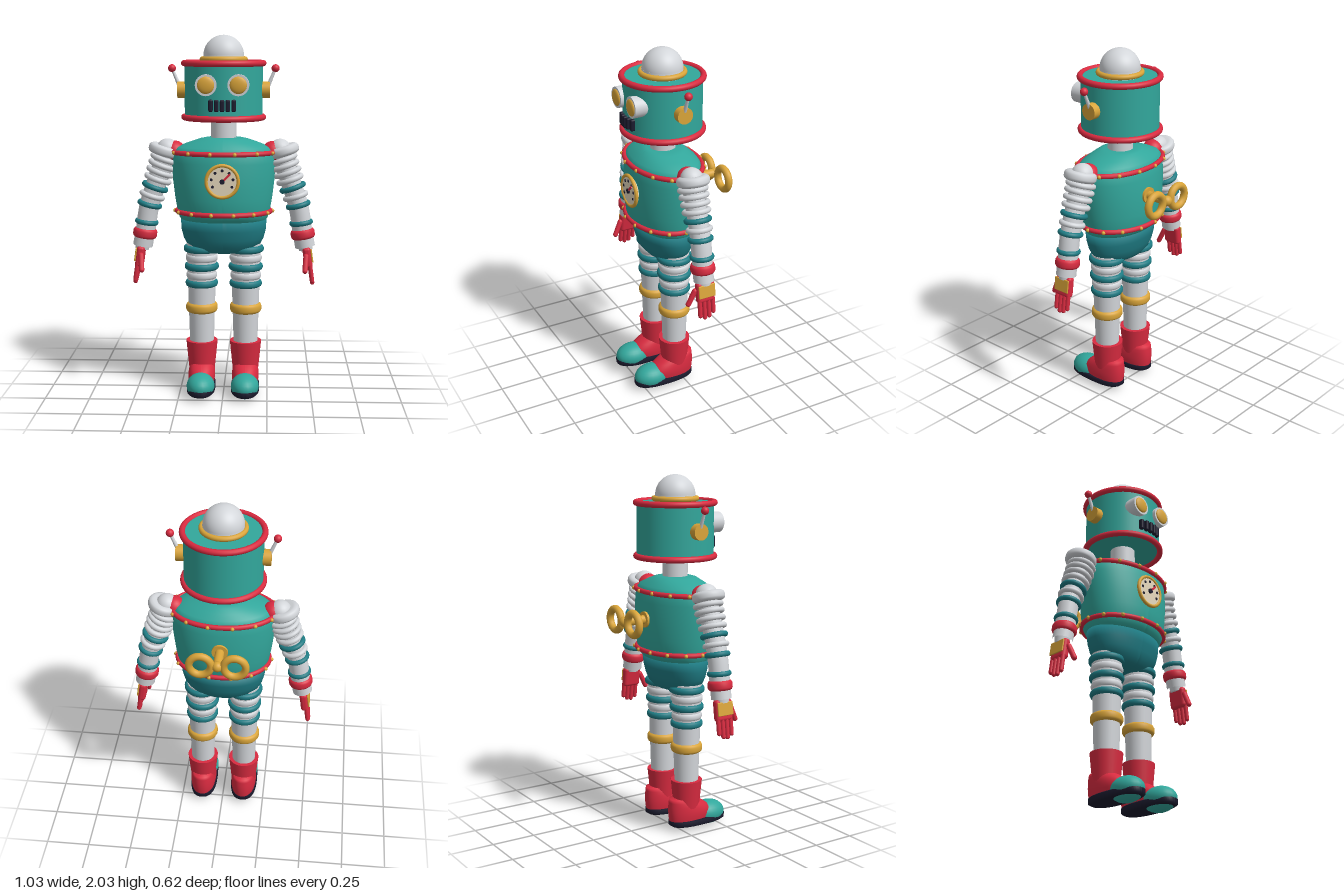
import * as THREE from 'three';
import { RoundedBoxGeometry } from 'three/addons/geometries/RoundedBoxGeometry.js';

const mat = (name, color) => {
  const m = new THREE.MeshStandardMaterial({ color });
  m.name = name;
  return m;
};
const V = (x, y, z) => new THREE.Vector3(x, y, z);
const UP = V(0, 1, 0);
const ZC = 0.052; // depth of the body axis

export function createModel() {
  const teal = mat('teal', 0x32a79c), darkTeal = mat('darkTeal', 0x1f7d85), red = mat('red', 0xd92b40);
  const gold = mat('gold', 0xdaa53a), grey = mat('lightGrey', 0xd3d6da), navy = mat('navy', 0x1b1b2e);
  const cream = mat('cream', 0xf1e3c6);
  const root = new THREE.Group();
  root.name = 'toyRobot';

  const add = (parent, name, geo, m, x = 0, y = 0, z = 0) => {
    const mesh = new THREE.Mesh(geo, m);
    mesh.name = name;
    mesh.position.set(x, y, z);
    parent.add(mesh);
    return mesh;
  };
  const ball = (p, name, r, m, x, y, z) => add(p, name, new THREE.SphereGeometry(r, 24, 16), m, x, y, z);
  // cylinder between two points
  const rod = (p, name, a, b, ra, rb, m, seg = 32) => {
    const d = b.clone().sub(a);
    const mesh = add(p, name, new THREE.CylinderGeometry(rb, ra, d.length(), seg), m);
    mesh.position.copy(a).add(b).multiplyScalar(0.5);
    mesh.quaternion.setFromUnitVectors(UP, d.normalize());
    return mesh;
  };
  // torus around a direction
  const ring = (p, name, c, dir, r, t, m) => {
    const mesh = add(p, name, new THREE.TorusGeometry(r, t, 12, 48), m, c.x, c.y, c.z);
    mesh.quaternion.setFromUnitVectors(V(0, 0, 1), dir);
    return mesh;
  };
  // stacked superellipses, rows from bottom to top: [y, rx, rz, zCentre]
  const loft = (p, name, rows, m, e = 2, x = 0) => {
    const geo = new THREE.LatheGeometry(rows.map(r => new THREE.Vector2(1, r[0])), 56);
    const pos = geo.attributes.position;
    const bend = v => Math.sign(v) * Math.pow(Math.abs(v), 2 / e);
    for (let i = 0; i < pos.count; i++) {
      const [y, rx, rz, zc = ZC] = rows[i % rows.length];
      pos.setXYZ(i, bend(pos.getX(i)) * rx, y, bend(pos.getZ(i)) * rz + zc);
    }
    geo.computeVertexNormals();
    return add(p, name, geo, m, x);
  };
  // rounded band, profile of a lathe
  const band = (p, name, r, h, m, x, y, z) => {
    const k = Math.min(h * 0.35, 0.018);
    const pts = [[r - 0.03, -h / 2], [r - k, -h / 2], [r - k * 0.3, -h / 2 + k * 0.4], [r, -h / 2 + k],
      [r, h / 2 - k], [r - k * 0.3, h / 2 - k * 0.4], [r - k, h / 2], [r - 0.03, h / 2]];
    return add(p, name, new THREE.LatheGeometry(pts.map(q => new THREE.Vector2(...q)), 40), m, x, y, z);
  };

  // ---- head ----
  const head = new THREE.Group();
  head.name = 'head';
  root.add(head);
  add(head, 'headShell', new THREE.CylinderGeometry(0.216, 0.216, 0.3, 64), teal, 0, 1.7, ZC);
  for (const y of [1.55, 1.846]) ring(head, 'headRim', V(0, y, ZC), UP, 0.219, 0.017, red);
  ring(head, 'domeCollar', V(0, 1.868, ZC), UP, 0.118, 0.015, gold);
  add(head, 'domeBase', new THREE.CylinderGeometry(0.112, 0.115, 0.04, 48), grey, 0, 1.87, ZC);
  add(head, 'dome', new THREE.SphereGeometry(0.112, 40, 20, 0, Math.PI * 2, 0, Math.PI / 2), grey, 0, 1.888, ZC);
  add(head, 'neck', new THREE.CylinderGeometry(0.071, 0.071, 0.16, 40), grey, 0, 1.48, ZC);
  for (const s of [-1, 1]) {
    rod(head, 'eyeRim', V(s * 0.087, 1.733, 0.2), V(s * 0.087, 1.733, 0.285), 0.058, 0.058, grey);
    const lens = ball(head, 'eyeLens', 0.046, gold, s * 0.087, 1.733, 0.285);
    lens.scale.z = 0.3;
    rod(head, 'ear', V(s * 0.2, 1.7, ZC), V(s * 0.256, 1.7, ZC), 0.045, 0.045, gold);
    rod(head, 'antennaRod', V(s * 0.245, 1.72, ZC), V(s * 0.285, 1.815, ZC), 0.011, 0.008, grey, 12);
    ball(head, 'antennaTip', 0.022, red, s * 0.286, 1.818, ZC);
  }
  for (let i = -2; i <= 2; i++) {
    add(head, 'mouthBar', new RoundedBoxGeometry(0.024, 0.065, 0.04, 2, 0.008), navy, i * 0.031, 1.623, 0.27 - i * i * 0.003);
  }

  // ---- torso ----
  const torso = new THREE.Group();
  torso.name = 'torso';
  root.add(torso);
  loft(torso, 'chest', [[0.975, 0.238, 0.16], [0.99, 0.248, 0.175], [1.02, 0.258, 0.193], [1.1, 0.272, 0.201],
    [1.2, 0.284, 0.203], [1.3, 0.29, 0.195], [1.36, 0.287, 0.186], [1.385, 0.26, 0.168], [1.41, 0.195, 0.14],
    [1.43, 0.135, 0.115], [1.437, 0.1, 0.09], [1.438, 0, 0]], teal);
  loft(torso, 'pelvis', [[0.785, 0, 0], [0.788, 0.11, 0.07], [0.8, 0.165, 0.1], [0.83, 0.203, 0.126], [0.87, 0.225, 0.14],
    [0.92, 0.238, 0.152], [0.985, 0.242, 0.161], [0.988, 0, 0]], darkTeal);
  for (const [y, rx, rz] of [[1.024, 0.262, 0.199], [1.357, 0.29, 0.19]]) {
    const at = (a, k = 0) => V(Math.cos(a) * (rx + k), y, ZC + Math.sin(a) * (rz + k));
    const pts = Array.from({ length: 32 }, (_, i) => at(-i / 32 * Math.PI * 2));
    add(torso, 'torsoTrim', new THREE.TubeGeometry(new THREE.CatmullRomCurve3(pts, true), 80, 0.014, 10, true), red);
    for (let i = 0; i < 14; i++) {
      const p = at(i / 14 * Math.PI * 2, 0.012);
      ball(torso, 'rivet', 0.011, gold, p.x, p.y, p.z);
    }
  }

  // chest gauge
  const gauge = new THREE.Group();
  gauge.name = 'gauge';
  gauge.position.set(0, 1.213, 0.26);
  root.add(gauge);
  rod(gauge, 'gaugeFace', V(0, 0, -0.03), V(0, 0, 0.004), 0.085, 0.085, cream);
  ring(gauge, 'gaugeRim', V(0, 0, 0), V(0, 0, 1), 0.087, 0.01, gold);
  for (let i = 0; i < 7; i++) {
    const a = -0.5 + i / 6 * (Math.PI + 1);
    rod(gauge, 'gaugeMark', V(Math.cos(a) * 0.06, Math.sin(a) * 0.06, 0), V(Math.cos(a) * 0.06, Math.sin(a) * 0.06, 0.007), 0.008, 0.008, navy, 12);
  }
  const needle = add(gauge, 'needle', new THREE.BoxGeometry(0.07, 0.011, 0.006), red, 0.018, 0.018, 0.008);
  needle.rotation.z = Math.PI / 4;
  rod(gauge, 'needleHub', V(0, 0, 0), V(0, 0, 0.013), 0.014, 0.014, navy, 16);

  // wind-up key
  const key = new THREE.Group();
  key.name = 'windUpKey';
  root.add(key);
  const KY = 1.205;
  rod(key, 'keyCollar', V(0, KY, -0.13), V(0, KY, -0.16), 0.045, 0.045, gold);
  rod(key, 'keyShaft', V(0, KY, -0.13), V(0, KY, -0.285), 0.025, 0.025, gold);
  ball(key, 'keyHub', 0.03, gold, 0, KY, -0.283);
  for (const s of [-1, 1]) ring(key, 'keyLoop', V(s * 0.094, KY, -0.283), V(0, 0, 1), 0.06, 0.021, gold);

  for (const s of [-1, 1]) {
    const side = s > 0 ? 'left' : 'right';
    // ---- leg ----
    const leg = new THREE.Group();
    leg.name = side + 'Leg';
    root.add(leg);
    const x = s * 0.125;
    rod(leg, 'legTube', V(x, 0.25, 0.048), V(x, 0.84, 0.048), 0.068, 0.086, grey);
    for (const [y, r] of [[0.808, 0.102], [0.705, 0.097], [0.608, 0.092]]) band(leg, 'legRing', r, 0.04, darkTeal, x, y, 0.048);
    for (const [y, r] of [[0.755, 0.091], [0.655, 0.087]]) band(leg, 'legSpacer', r, 0.05, grey, x, y, 0.048);
    band(leg, 'kneeBand', 0.09, 0.058, gold, x, 0.466, 0.048);
    rod(leg, 'bootShaft', V(x, 0.11, 0.048), V(x, 0.272, 0.048), 0.074, 0.09, red);
    loft(leg, 'shoe', [[0.03, 0.07, 0.13, 0.07], [0.06, 0.076, 0.138, 0.074], [0.09, 0.076, 0.136, 0.07],
      [0.12, 0.072, 0.115, 0.05], [0.145, 0.066, 0.094, 0.032], [0.165, 0.055, 0.07, 0.01], [0.172, 0, 0, 0.01]], red, 2.2, x);
    const toe = ball(leg, 'toeCap', 1, teal, x, 0.045, 0.198);
    toe.scale.set(0.079, 0.07, 0.105);
    loft(leg, 'sole', [[0, 0, 0, 0.121], [0, 0.07, 0.17, 0.121], [0.008, 0.08, 0.182, 0.121],
      [0.032, 0.08, 0.183, 0.121], [0.038, 0.074, 0.177, 0.121], [0.038, 0, 0, 0.121]], navy, 2.5, x);

    // ---- arm ----
    const arm = new THREE.Group();
    arm.name = side + 'Arm';
    root.add(arm);
    const path = new THREE.CatmullRomCurve3([[0.305, 1.39], [0.335, 1.3], [0.375, 1.19], [0.42, 1.05], [0.445, 0.9], [0.46, 0.82]]
      .map(([px, py]) => V(s * px, py, 0.046)));
    const onArm = t => [path.getPoint(t), path.getTangent(t)];
    ball(arm, 'shoulderJoint', 0.062, red, s * 0.275, 1.355, 0.046);
    ball(arm, 'shoulderDome', 0.062, grey, s * 0.315, 1.367, 0.046);
    const cap = band(arm, 'shoulderCap', 0.09, 0.055, grey, s * 0.332, 1.362, 0.046);
    cap.rotation.z = s * 0.3;
    const top = rod(arm, 'shoulderPlate', V(0, 0, 0), V(0, 0.05, 0), 0.075, 0.075, grey);
    top.position.copy(cap.position);
    top.rotation.z = s * 0.3;
    add(arm, 'armTube', new THREE.TubeGeometry(path, 32, 0.056, 24), grey);
    const rings = [[0.17, 0.07, grey], [0.24, 0.069, grey], [0.31, 0.067, grey], [0.38, 0.065, grey], [0.45, 0.062, darkTeal],
      [0.52, 0.059, grey], [0.59, 0.056, darkTeal], [0.72, 0.052, darkTeal]];
    for (const [t, r, m] of rings) {
      const [c, d] = onArm(t);
      ring(arm, 'armRing', c, d, r, 0.015, m);
    }
    const cuff = band(arm, 'cuff', 0.068, 0.06, red, s * 0.446, 0.893, 0.046);
    cuff.rotation.z = s * 0.15;

    // ---- hand ----
    const hand = new THREE.Group();
    hand.name = side + 'Hand';
    hand.position.set(s * 0.457, 0.85, 0.046);
    hand.rotation.z = s * 0.14;
    arm.add(hand);
    rod(hand, 'wrist', V(0, 0.03, 0), V(0, -0.05, 0), 0.048, 0.038, grey);
    add(hand, 'palm', new RoundedBoxGeometry(0.045, 0.12, 0.108, 3, 0.018), red, s * 0.004, -0.09, 0);
    add(hand, 'handPlate', new RoundedBoxGeometry(0.009, 0.075, 0.1, 2, 0.004), gold, s * 0.029, -0.082, 0);
    for (let i = 0; i < 4; i++) {
      const len = [0.08, 0.1, 0.105, 0.09][i];
      add(hand, 'finger', new THREE.CapsuleGeometry(0.0125, len, 6, 12), red, s * 0.012, -0.135 - len / 2, (i - 1.5) * 0.027);
    }
    const thumb = add(hand, 'thumb', new THREE.CapsuleGeometry(0.015, 0.085, 6, 12), red, -s * 0.012, -0.115, 0.075);
    thumb.rotation.set(-0.45, 0, -s * 0.2);
  }
  return root;
}
